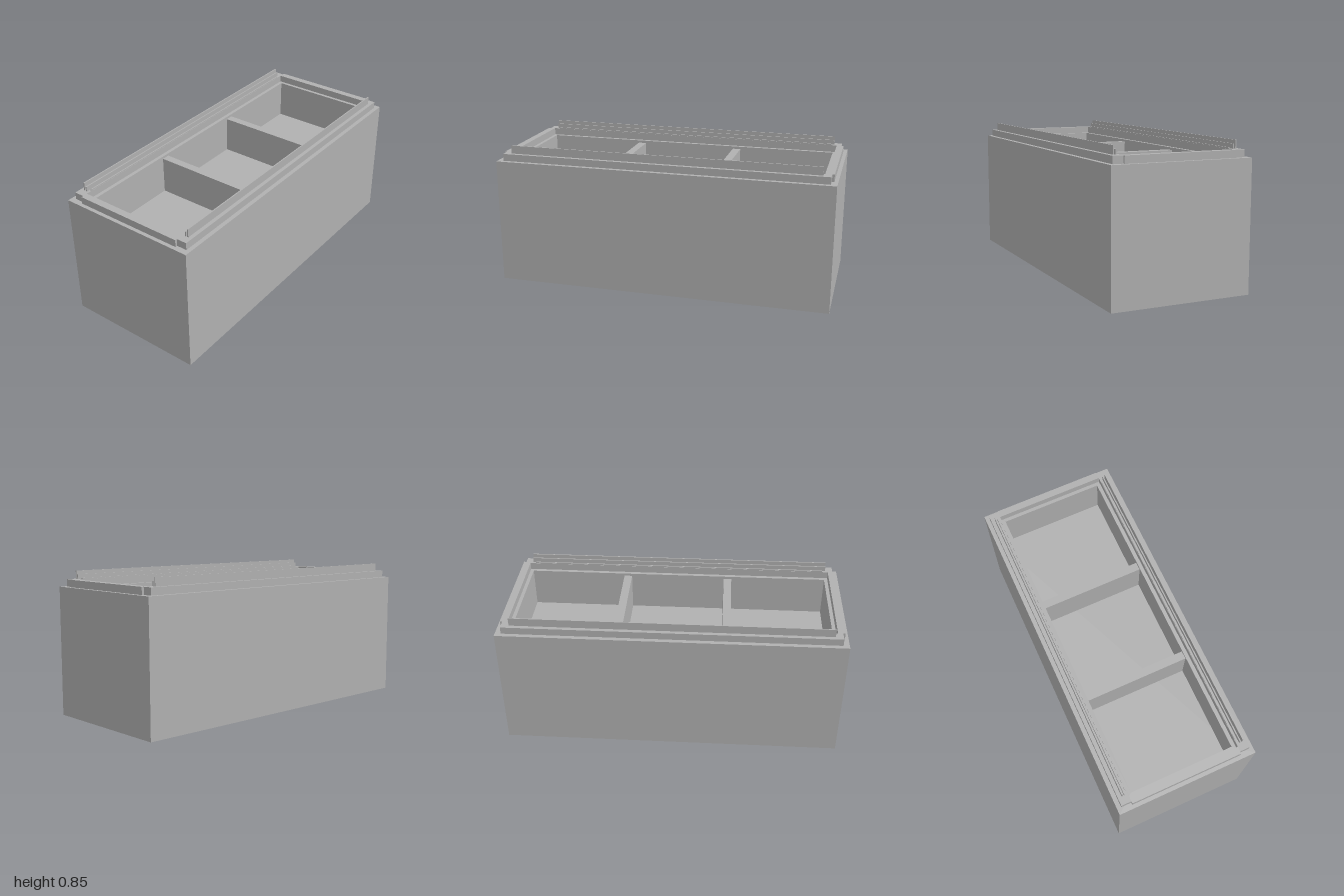
import * as THREE from 'three';

export function createModel() {
  const model = new THREE.Group();
  model.name = 'compartmentCrate';
  const grey = new THREE.MeshStandardMaterial({ color: 0xb0b0b0 });
  grey.name = 'grey';

  const add = (geometry, name) => {
    const mesh = new THREE.Mesh(geometry, grey);
    mesh.name = name;
    model.add(mesh);
    return mesh;
  };

  // Box given by its lower and upper corners
  const block = (name, x0, x1, y0, y1, z0, z1) => {
    const mesh = add(new THREE.BoxGeometry(x1 - x0, y1 - y0, z1 - z0), name);
    mesh.position.set((x0 + x1) / 2, (y0 + y1) / 2, (z0 + z1) / 2);
  };

  const rectangle = (path, x, z) => {
    path.moveTo(-x, -z);
    path.lineTo(x, -z);
    path.lineTo(x, z);
    path.lineTo(-x, z);
    path.closePath();
    return path;
  };

  // Body: solid base below the trays, then a wall ring around them
  const bottom = 0.013, floor = 0.525, top = 0.763, rimTop = 0.805;
  block('base', -1, 1, bottom, floor, -0.415, 0.415);
  const ring = rectangle(new THREE.Shape(), 1, 0.415);
  ring.holes.push(rectangle(new THREE.Path(), 0.915, 0.308));
  const wall = new THREE.ExtrudeGeometry(ring, { depth: top - floor, bevelEnabled: false });
  wall.rotateX(-Math.PI / 2).translate(0, floor, 0);
  add(wall, 'walls');

  // Two dividers make three compartments
  for (const x of [-0.314, 0.312]) {
    block('divider', x - 0.024, x + 0.024, floor, 0.748, -0.308, 0.308);
  }

  // Raised rim ends, wider than the long strips
  for (const s of [-1, 1]) {
    const x = s * 0.957;
    block('rimEnd', x - 0.021, x + 0.021, top, rimTop, -0.33, 0.33);
  }

  // Stepped rails on top: z centre, thickness, top height, half length
  const rails = [
    [0.364, 0.007, 0.853, 0.92],
    [0.35, 0.007, 0.833, 0.92],
    [0.335, 0.007, 0.812, 0.9],
  ];

  // Underside runner with slanted ends
  const runner = new THREE.Shape();
  runner.moveTo(-0.355, bottom);
  runner.lineTo(-0.335, 0);
  runner.lineTo(0.335, 0);
  runner.lineTo(0.355, bottom);
  runner.closePath();

  for (const s of [-1, 1]) {
    const z = s * 0.36;
    block('rimSide', -0.965, 0.965, top, rimTop, z - 0.03, z + 0.03);
    for (const [c, t, h, l] of rails) {
      block('topRail', -l, l, rimTop, h, s * c - t / 2, s * c + t / 2);
    }
    for (const c of [0.36, 0.348, 0.336]) {
      const geometry = new THREE.ExtrudeGeometry(runner, { depth: 0.007, bevelEnabled: false });
      add(geometry, 'bottomRunner').position.z = s * c - 0.0035;
    }
  }

  // Thin plate between the runners
  block('bottomPlate', -0.345, 0.345, 0.007, bottom, -0.365, 0.365);

  return model;
}
